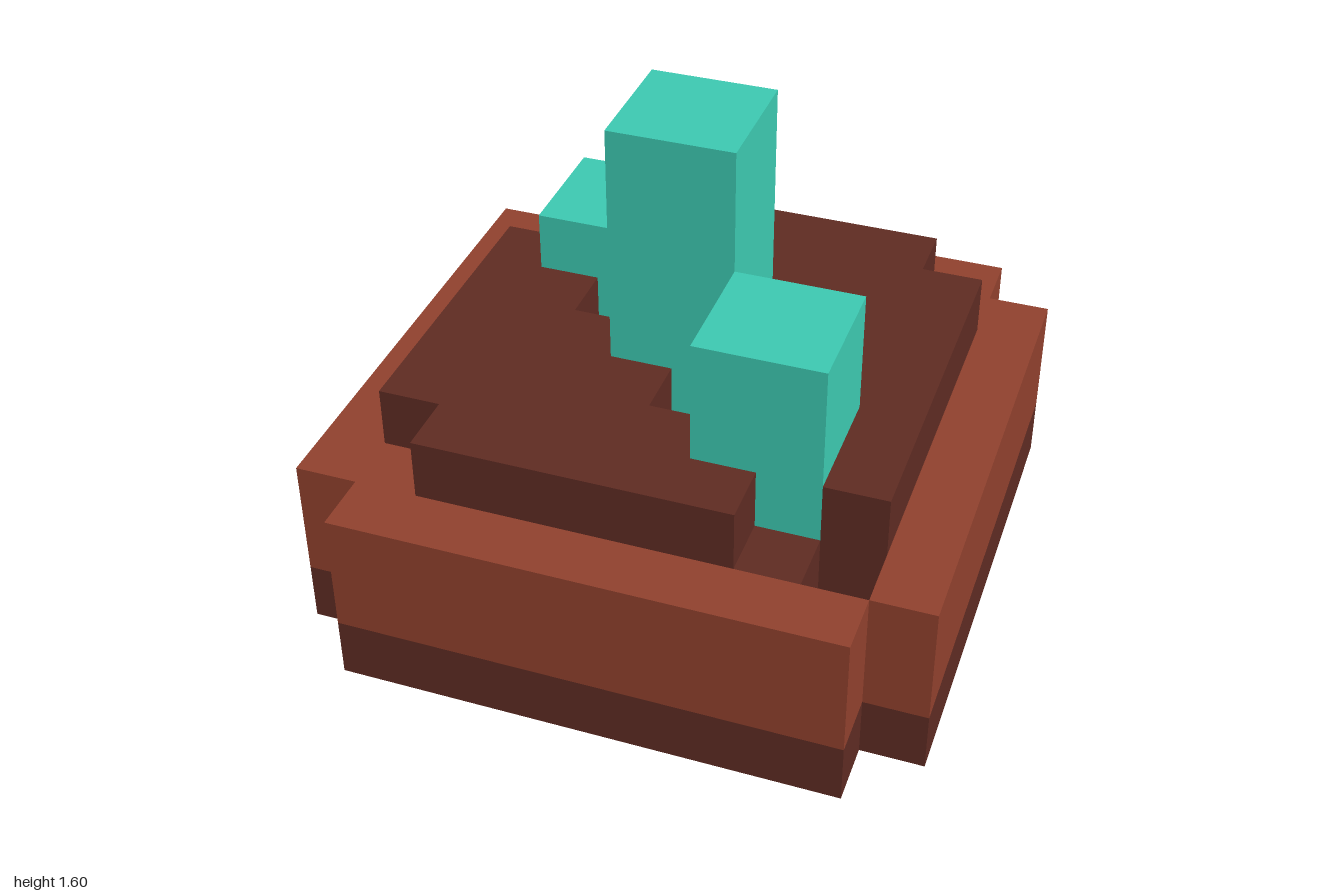
import * as THREE from 'three';

export function createModel() {
  const model = new THREE.Group();
  model.name = 'steppedPedestal';

  const material = (name, color) => {
    const m = new THREE.MeshStandardMaterial({ color });
    m.name = name;
    return m;
  };
  const darkBrown = material('dark brown', 0x5e2b22);
  const rust = material('rust brown', 0x8f402d);
  const teal = material('teal', 0x3cc8b0);
  const charcoal = material('charcoal', 0x222e2e);

  const add = (name, geometry, mat) => {
    const mesh = new THREE.Mesh(geometry, mat);
    mesh.name = name;
    model.add(mesh);
    return mesh;
  };

  // Box given by its limits on each axis
  const block = (name, mat, x0, x1, y0, y1, z0, z1) =>
    add(name, new THREE.BoxGeometry(x1 - x0, y1 - y0, z1 - z0), mat)
      .position.set((x0 + x1) / 2, (y0 + y1) / 2, (z0 + z1) / 2);

  // Flat slab whose outline is a list of [x, z] points
  const slab = (name, mat, outline, y0, y1) => {
    const shape = new THREE.Shape(outline.map(([x, z]) => new THREE.Vector2(x, -z)));
    const geometry = new THREE.ExtrudeGeometry(shape, { depth: y1 - y0, bevelEnabled: false });
    geometry.rotateX(-Math.PI / 2);
    add(name, geometry, mat).position.y = y0;
  };

  // Square outline with a small step at each corner
  const stepped = (r, i = r - 0.2) => [
    [-i, -r], [i, -r], [i, -i], [r, -i], [r, i], [i, i],
    [i, r], [-i, r], [-i, i], [-r, i], [-r, -i], [-i, -i],
  ];

  // Foot and the dark core inside the rim
  slab('foot', darkBrown, stepped(1), 0, 0.2);
  slab('core', darkBrown, stepped(0.8), 0.2, 0.6);

  // Rim walls, filled corners and sunken corners, in mirrored pairs
  for (const s of [-1, 1]) {
    const lo = Math.min(s * 0.8, s), hi = Math.max(s * 0.8, s);
    block('rimWall', rust, -0.8, 0.8, 0.2, 0.6, lo, hi);
    block('rimWall', rust, lo, hi, 0.2, 0.6, -0.8, 0.8);
    const c = s * 0.7;
    block('rimCorner', rust, c - 0.1, c + 0.1, 0.2, 0.6, -c - 0.1, -c + 0.1);
    block('wellFloor', charcoal, c - 0.1, c + 0.1, 0.2, 0.4, c - 0.1, c + 0.1);
  }

  // Upper step, split in two by the diagonal channel
  slab('upperStepBack', darkBrown, [
    [-0.6, -0.8], [0.6, -0.8], [0.6, -0.6], [0.8, -0.6], [0.8, 0.6], [0.6, 0.6],
    [0.6, 0.2], [0.2, 0.2], [0.2, -0.2], [-0.2, -0.2], [-0.2, -0.6], [-0.6, -0.6],
  ], 0.6, 0.8);
  slab('upperStepFront', darkBrown, [
    [-0.8, -0.4], [-0.6, -0.4], [-0.6, -0.2], [-0.4, -0.2], [-0.4, 0], [-0.2, 0],
    [-0.2, 0.2], [0, 0.2], [0, 0.4], [0.2, 0.4], [0.2, 0.6], [0.4, 0.6],
    [0.4, 0.8], [-0.6, 0.8], [-0.6, 0.6], [-0.8, 0.6],
  ], 0.6, 0.8);

  // Three pillars along the diagonal
  for (const [c, top] of [[-0.4, 1], [0, 1.6], [0.4, 1.2]]) {
    block('pillar', teal, c - 0.2, c + 0.2, 0.6, top, c - 0.2, c + 0.2);
  }

  return model;
}
